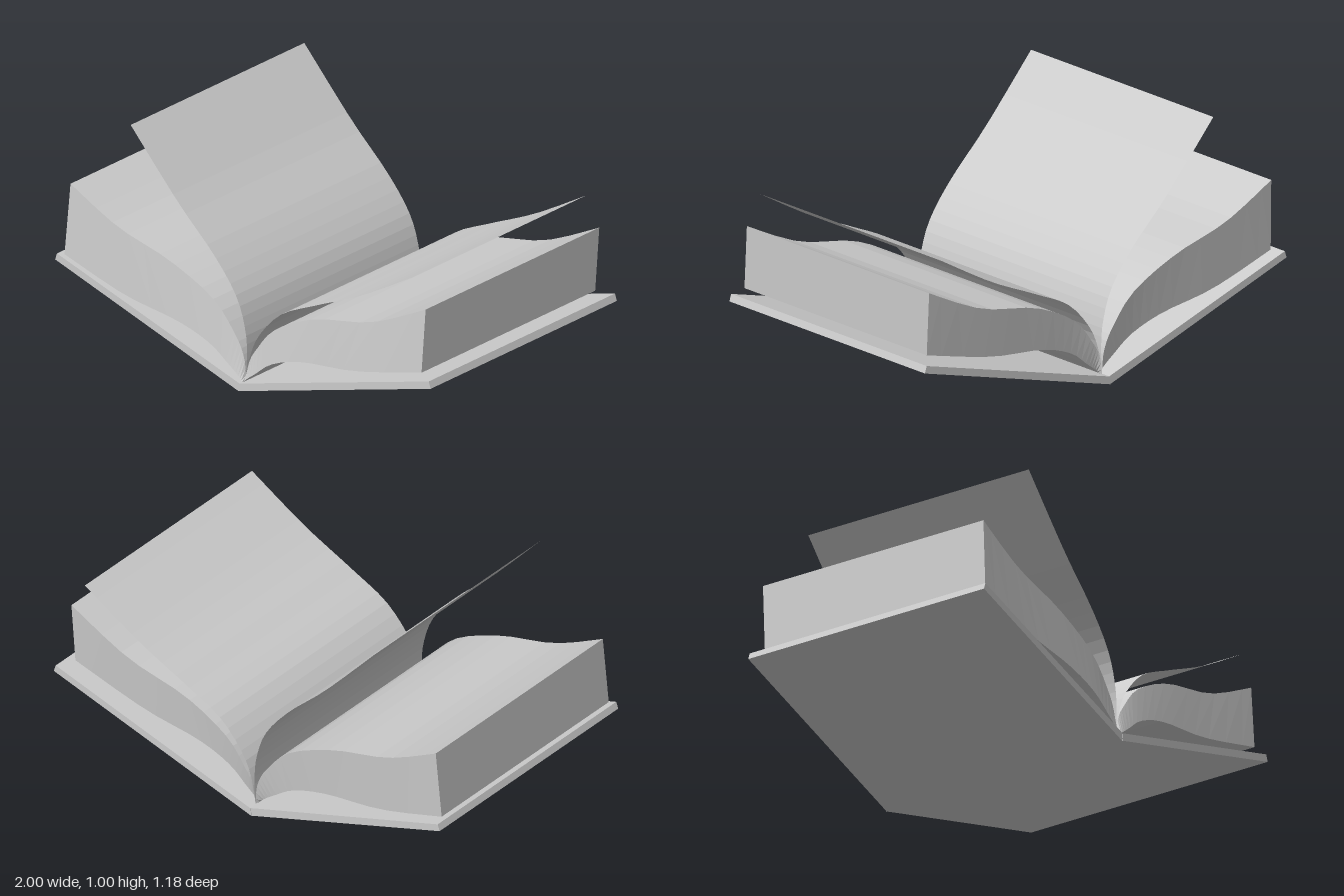
import * as THREE from 'three';

const paper = new THREE.MeshStandardMaterial({ color: 0xcccccc, flatShading: true });
const sheet = new THREE.MeshStandardMaterial({ color: 0xcccccc, flatShading: true, side: THREE.DoubleSide });

// Smooth curve through [x, y] points, starting at the spine
function sample(points, divisions) {
  return new THREE.SplineCurve(points.map(([x, y]) => new THREE.Vector2(x, y))).getPoints(divisions);
}

function meshFrom(name, positions, material) {
  const geometry = new THREE.BufferGeometry();
  geometry.setAttribute('position', new THREE.Float32BufferAttribute(positions, 3));
  geometry.computeVertexNormals();
  const mesh = new THREE.Mesh(geometry, material);
  mesh.name = name;
  return mesh;
}

// Solid between an upper and a lower curve; slide moves the lower curve towards the front
function slab(name, upper, lower, halfDepth, slide, divisions) {
  const top = sample(upper, divisions);
  const bottom = sample(lower, divisions);
  const rings = top.map((t, i) => {
    const b = bottom[i];
    return [
      [t.x, t.y, halfDepth], [t.x, t.y, -halfDepth],
      [b.x, b.y, -halfDepth + slide], [b.x, b.y, halfDepth + slide],
    ];
  });
  const flip = upper[upper.length - 1][0] < 0;
  const out = [];
  const quad = (a, b, c, d) => {
    if (flip) out.push(...a, ...c, ...b, ...a, ...d, ...c);
    else out.push(...a, ...b, ...c, ...a, ...c, ...d);
  };
  for (let i = 0; i < divisions; i++) {
    for (let k = 0; k < 4; k++) {
      const n = (k + 1) % 4;
      quad(rings[i][k], rings[i + 1][k], rings[i + 1][n], rings[i][n]);
    }
  }
  const [p, q, r, s] = rings[divisions];
  quad(p, s, r, q);
  quad(...rings[0]);
  return meshFrom(name, out, paper);
}

// Single curved sheet
function page(name, points, halfDepth) {
  const curve = sample(points, 20);
  const out = [];
  for (let i = 0; i < curve.length - 1; i++) {
    const a = curve[i], b = curve[i + 1];
    const af = [a.x, a.y, halfDepth], ab = [a.x, a.y, -halfDepth];
    const bf = [b.x, b.y, halfDepth], bb = [b.x, b.y, -halfDepth];
    out.push(...af, ...bf, ...bb, ...af, ...bb, ...ab);
  }
  return meshFrom(name, out, sheet);
}

export function createModel() {
  const book = new THREE.Group();
  book.name = 'openBook';

  // Hard covers meeting in a shallow V
  book.add(slab('rightCover', [[-0.02, 0.035], [-0.99, 0.342]], [[-0.025, 0], [-1, 0.313]], 0.588, 0, 1));
  book.add(slab('leftCover', [[-0.02, 0.035], [0.99, 0.325]], [[-0.025, 0], [1, 0.295]], 0.59, 0, 1));

  // Curved page blocks
  book.add(slab('rightPageBlock',
    [[-0.015, 0.035], [-0.025, 0.13], [-0.07, 0.22], [-0.19, 0.35], [-0.42, 0.455], [-0.7, 0.53], [-0.95, 0.65]],
    [[-0.02, 0.035], [-0.045, 0.06], [-0.1, 0.1], [-0.2, 0.163], [-0.37, 0.212], [-0.65, 0.25], [-0.965, 0.34]],
    0.55, 0.02, 20));
  book.add(slab('leftPageBlock',
    [[-0.015, 0.035], [0, 0.12], [0.04, 0.19], [0.14, 0.305], [0.35, 0.41], [0.65, 0.48], [0.94, 0.617]],
    [[-0.015, 0.035], [0.005, 0.055], [0.05, 0.09], [0.14, 0.158], [0.3, 0.212], [0.58, 0.25], [0.935, 0.342]],
    0.55, 0.02, 20));

  // Two loose pages lifting off the blocks
  book.add(page('rightLoosePage',
    [[-0.015, 0.035], [-0.01, 0.14], [-0.02, 0.26], [-0.07, 0.4], [-0.19, 0.55], [-0.38, 0.73], [-0.63, 1]], 0.55));
  book.add(page('leftLoosePage',
    [[-0.015, 0.035], [0, 0.13], [0.05, 0.25], [0.17, 0.38], [0.35, 0.47], [0.6, 0.585], [0.87, 0.74]], 0.55));

  return book;
}
